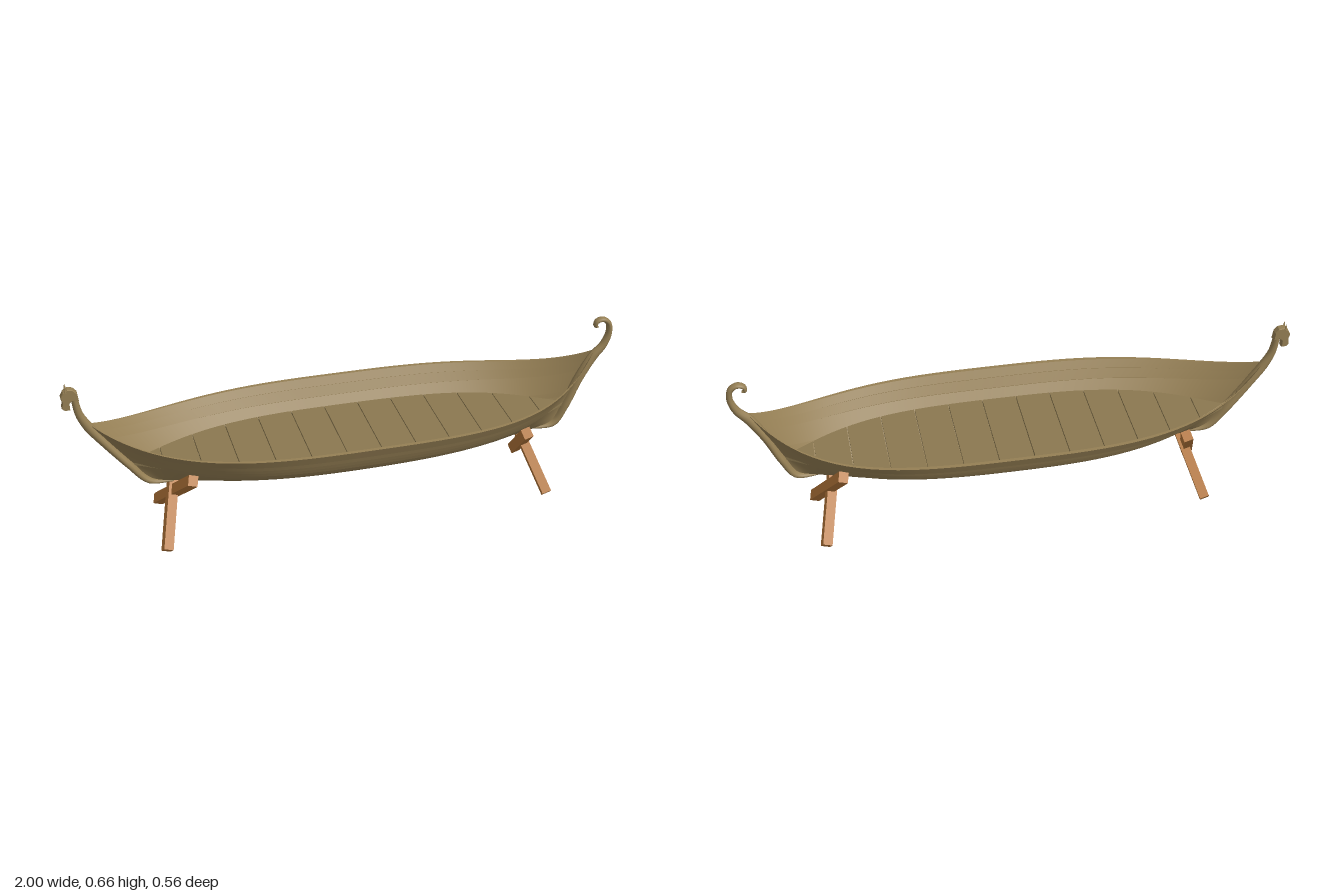
import * as THREE from 'three';
import { mergeGeometries } from 'three/addons/utils/BufferGeometryUtils.js';

const named = (color, name) => {
  const m = new THREE.MeshStandardMaterial({ color, side: THREE.DoubleSide });
  m.name = name;
  return m;
};

// Surface over a grid; fn(u, v) gives a point, and du x dv points outwards.
function grid(nu, nv, fn, flip = false) {
  const pos = [], idx = [];
  for (let j = 0; j <= nv; j++)
    for (let i = 0; i <= nu; i++) pos.push(...fn(i / nu, j / nv));
  for (let j = 0; j < nv; j++)
    for (let i = 0; i < nu; i++) {
      const a = j * (nu + 1) + i, b = a + 1, c = a + nu + 1, d = c + 1;
      if (flip) idx.push(a, d, b, a, c, d);
      else idx.push(a, b, d, a, d, c);
    }
  const g = new THREE.BufferGeometry();
  g.setAttribute('position', new THREE.Float32BufferAttribute(pos, 3));
  g.setIndex(idx);
  g.computeVertexNormals();
  return g;
}

// Hull lines: s runs -1..1 from bow to stern, h runs 0..1 from keel to sheer.
const KEEL = 0.19, SHEER = 0.413;
const keelY = s => KEEL + 0.047 * s * s;
const sheerY = s => SHEER + (s < 0 ? 0.09 * s ** 6 : 0.12 * Math.abs(s) ** 7);
const hullX = (s, h) => s * (s < 0 ? 0.73 + 0.19 * h : 0.79 + 0.145 * h);
const taper = (s, h) =>
  Math.max(0, 1 - Math.abs(s) ** (s < 0 ? 2.9 : 3.4)) ** (1 + 0.25 * (1 - h));
function hullPoint(s, z, y, side) {
  const h = (y - KEEL) / (SHEER - KEEL);
  return [hullX(s, h), keelY(s) + (sheerY(s) - keelY(s)) * h, side * z * taper(s, h)];
}

// Midship section [z, y]: each row is one smooth strip, edges between rows stay sharp.
const STRIPS = [
  [[0, 0.19], [0.05, 0.198], [0.1, 0.222], [0.14, 0.252], [0.165, 0.278]],
  [[0.165, 0.278], [0.174, 0.276]],
  [[0.174, 0.276], [0.192, 0.304]],
  [[0.192, 0.304], [0.201, 0.302]],
  [[0.201, 0.302], [0.215, 0.33]],
  [[0.215, 0.33], [0.224, 0.328]],
  [[0.224, 0.328], [0.236, 0.355]],
  [[0.236, 0.355], [0.245, 0.353]],
  [[0.245, 0.353], [0.256, 0.382]],
  [[0.256, 0.382], [0.267, 0.38]],
  [[0.267, 0.38], [0.282, 0.413]],
  [[0.282, 0.413], [0.268, 0.413]],
  [[0.268, 0.413], [0.25, 0.385]],
  [[0.25, 0.385], [0.245, 0.387]],
  [[0.245, 0.387], [0.225, 0.355]],
  [[0.225, 0.355], [0.22, 0.357]],
  [[0.22, 0.357], [0.17, 0.295]],
];
function hullSide(side) {
  return mergeGeometries(STRIPS.map(p => grid(56, p.length - 1, (u, v) => {
    const [z, y] = p[Math.round(v * (p.length - 1))];
    return hullPoint(Math.sin((u - 0.5) * Math.PI), z, y, side);
  }, side < 0)));
}

// Half width of the deck at x, found where the inner hull meets the deck height.
const DECK = 0.322;
function deckHalf(x) {
  const at = s => (DECK - keelY(s)) / (sheerY(s) - keelY(s));
  let lo = -1, hi = 1;
  for (let i = 0; i < 30; i++) {
    const s = (lo + hi) / 2;
    if (hullX(s, at(s)) < x) lo = s; else hi = s;
  }
  const h = at(lo), y = KEEL + (SHEER - KEEL) * h;
  const z = Math.max(0.02, 0.195 + (y - 0.325) * 0.85);
  return z * taper(lo, h) + 0.002;
}

// Tapered tube in the x-y plane; each point is [x, y, in-plane radius, z radius].
function taperedTube(points, steps) {
  const path = new THREE.CatmullRomCurve3(points.map(p => new THREE.Vector3(p[0], p[1], 0)), false, 'centripetal');
  const last = points.length - 1;
  return grid(12, steps, (u, v) => {
    const p = path.getPoint(v), t = path.getTangent(v), a = u * Math.PI * 2;
    const k = Math.min(last - 1, Math.floor(v * last)), f = v * last - k;
    const r = i => THREE.MathUtils.lerp(points[k][i], points[k + 1][i], f);
    const n = r(2) * Math.cos(a);
    return [p.x - t.y * n, p.y + t.x * n, r(3) * Math.sin(a)];
  });
}

const STERN = [
  [0.7, 0.232, 0.004, 0.004], [0.79, 0.243, 0.012, 0.02], [0.835, 0.32, 0.015, 0.026],
  [0.88, 0.42, 0.016, 0.022], [0.93, 0.505, 0.018, 0.016], [0.968, 0.55, 0.014, 0.015],
  [0.985, 0.6, 0.011, 0.015], [0.978, 0.638, 0.01, 0.015], [0.955, 0.653, 0.009, 0.015],
  [0.933, 0.646, 0.008, 0.014], [0.93, 0.63, 0.007, 0.013], [0.942, 0.624, 0.001, 0.006],
];
const BOW = [
  [-0.64, 0.226, 0.004, 0.004], [-0.725, 0.243, 0.012, 0.02], [-0.795, 0.325, 0.015, 0.026],
  [-0.865, 0.415, 0.016, 0.022], [-0.915, 0.485, 0.018, 0.016], [-0.943, 0.54, 0.014, 0.015],
  [-0.953, 0.59, 0.012, 0.015], [-0.957, 0.625, 0.011, 0.014], [-0.967, 0.637, 0.003, 0.006],
];
const HEAD = [
  [-0.942, 0.6], [-0.946, 0.628], [-0.958, 0.642], [-0.976, 0.645], [-0.99, 0.636], [-0.999, 0.618],
  [-0.994, 0.6], [-0.998, 0.578], [-0.99, 0.57], [-0.974, 0.57], [-0.975, 0.595], [-0.962, 0.606],
];

export function createModel() {
  const model = new THREE.Group();
  model.name = 'longship';
  const wood = named(0x957f54, 'weathered oak');
  const deckWood = named(0x8b7850, 'deck oak');
  const timber = named(0xb6783a, 'stand timber');
  const add = (geometry, material, name, parent = model) => {
    const mesh = new THREE.Mesh(geometry, material);
    mesh.name = name;
    parent.add(mesh);
    return mesh;
  };

  // Planked hull
  add(hullSide(1), wood, 'frontHullSide');
  add(hullSide(-1), wood, 'backHullSide');

  // Stem posts, with a curl at the stern
  add(taperedTube(STERN, 72), wood, 'sternPost');
  add(taperedTube(BOW, 56), wood, 'bowPost');

  // Carved beast head with two ears
  const shape = new THREE.Shape(HEAD.map(p => new THREE.Vector2(...p)));
  const head = new THREE.ExtrudeGeometry(shape, {
    depth: 0.02, bevelEnabled: true, bevelSize: 0.002, bevelThickness: 0.004, bevelSegments: 1,
  });
  add(head.translate(0, 0, -0.01), wood, 'beastHead');
  for (const z of [-0.01, 0.01])
    add(new THREE.ConeGeometry(0.006, 0.026, 6), wood, 'ear').position.set(-0.982, 0.65, z);

  // Deck of crosswise planks, cut to the hull
  const deck = new THREE.Group();
  deck.name = 'deck';
  model.add(deck);
  const count = 13, from = -0.8, to = 0.845, step = (to - from) / count;
  for (let i = 0; i < count; i++) {
    const g = new THREE.BoxGeometry(step - 0.003, 0.012, 2, 6, 1, 1);
    g.translate(from + (i + 0.5) * step, DECK, 0);
    const p = g.attributes.position;
    for (let k = 0; k < p.count; k++) p.setZ(k, p.getZ(k) * deckHalf(p.getX(k)));
    g.computeVertexNormals();
    add(g, deckWood, 'deckPlank', deck);
  }

  // Leaning crossed stands; beams run [z, y] to [z, y]
  const lean = 0.31, pivot = 0.18;
  const beams = [[[0.155, 0.313], [-0.175, 0.042], -0.005], [[0.132, 0.02], [-0.158, 0.328], 0.005]];
  for (const side of [-1, 1]) {
    const stand = new THREE.Group();
    stand.name = side < 0 ? 'bowStand' : 'sternStand';
    stand.position.set(side < 0 ? -0.64 : 0.675, pivot, 0);
    stand.rotation.z = side * lean;
    for (const [a, b, offset] of beams) {
      const local = y => (y - pivot) / Math.cos(lean);
      const dz = b[0] - a[0], dy = local(b[1]) - local(a[1]);
      const beam = add(new THREE.BoxGeometry(0.034, Math.hypot(dz, dy), 0.038), timber, 'crossBeam', stand);
      beam.position.set(side * offset, (local(a[1]) + local(b[1])) / 2, (a[0] + b[0]) / 2);
      beam.rotation.x = Math.atan2(dz, dy);
    }
    model.add(stand);
  }
  return model;
}
